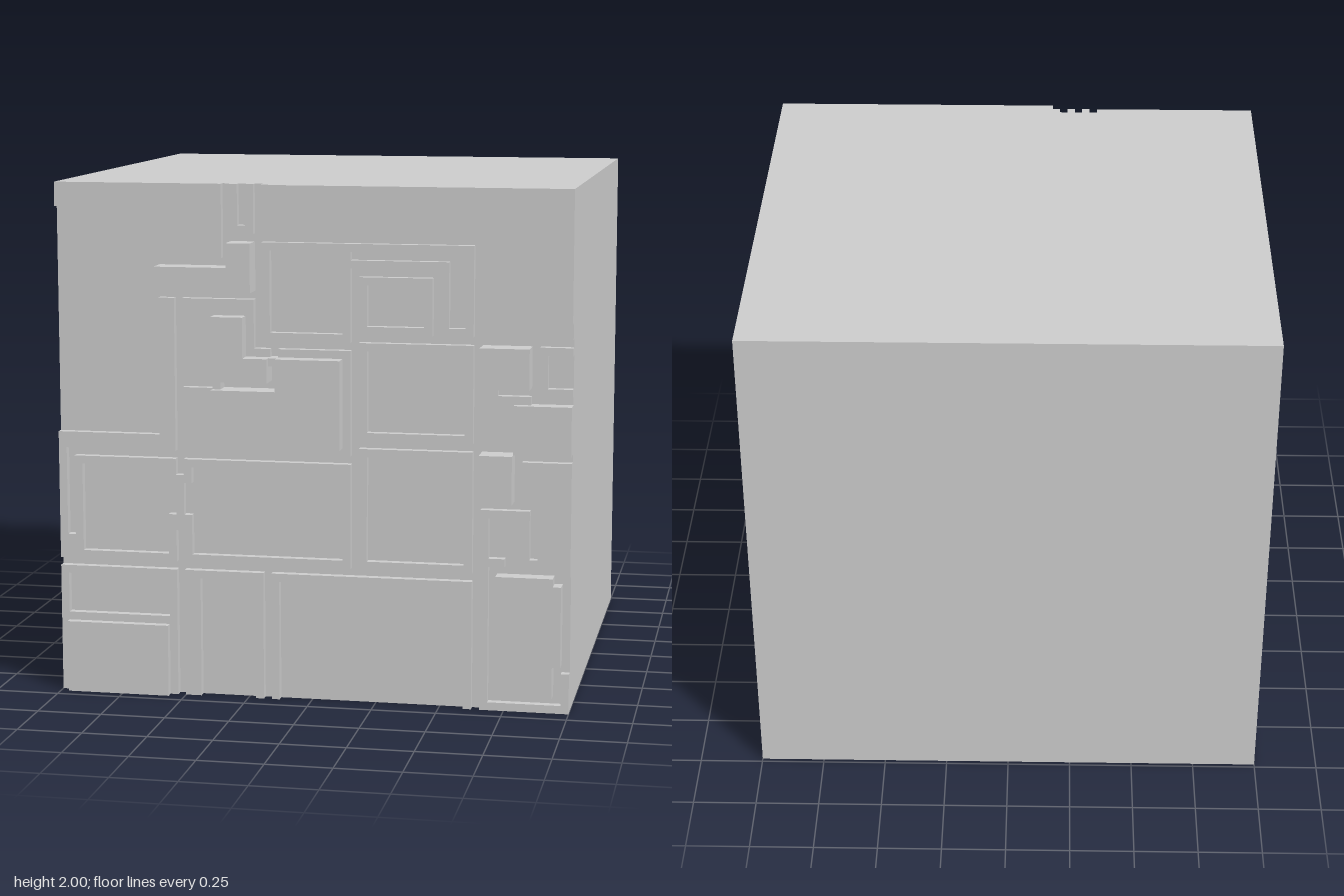
import * as THREE from 'three';
import { mergeGeometries } from 'three/addons/utils/BufferGeometryUtils.js';

// Everything sits on a grid of 64 x 64 cells across the front face.
const U = 1 / 32;
// Heights of the relief, as z
const FLOOR = 57 / 64, RIDGE = 59 / 64, PLATE = 61 / 64, BLOCK = 63 / 64;
const material = new THREE.MeshStandardMaterial({ color: 0xcccccc });

// One box over the cells [x0, y0, x1, y1], between two depths
function cellBox([x0, y0, x1, y1], back, front) {
  const g = new THREE.BoxGeometry((x1 - x0) * U, (y1 - y0) * U, front - back);
  return g.translate((x0 + x1) * U / 2 - 1, (y0 + y1) * U / 2, (back + front) / 2);
}

// Four rectangles around a sunken panel; empty sides are dropped
function frame([x0, y0, x1, y1], [a, b, c, d]) {
  return [
    [x0, y0, a, y1], [c, y0, x1, y1], [a, y0, c, b], [a, d, c, y1],
  ].filter(([l, s, r, t]) => r > l && t > s);
}

export function createModel() {
  const model = new THREE.Group();
  const add = (name, top, rects, bottom = FLOOR) => {
    const mesh = new THREE.Mesh(mergeGeometries(rects.map(r => cellBox(r, bottom, top))), material);
    mesh.name = name;
    model.add(mesh);
  };

  // Solid cube; its front is the floor of all grooves and sunken panels
  add('cubeBody', FLOOR, [[0, 0, 64, 64]], -BLOCK);

  // Upper edge
  add('topLeftRim', RIDGE, [[0, 61, 21, 64], [13, 55, 21, 61]]);
  add('topSlotPiece', RIDGE, frame([22, 58, 25, 64], [23, 59, 24, 64]));
  add('topRightBand', RIDGE, [[26, 60, 27, 64], [26, 58, 56, 60], [53, 46, 56, 58], [56, 46, 64, 48]]);
  add('topRightPlate', PLATE, [[27, 60, 64, 64], [56, 48, 64, 60]]);

  // Upper middle frames and the nested square
  add('upperFrame', RIDGE, [
    ...frame([26, 45, 37, 57], [27, 46, 36, 56]),
    [37, 56, 52, 57], [51, 46, 52, 56], [37, 54, 49, 55], [48, 46, 49, 54], [49, 46, 51, 47],
  ]);
  add('nestedFrame', RIDGE, frame([38, 46, 47, 53], [39, 47, 46, 52]));

  // Left border and centre field
  add('leftBorder', RIDGE, [[0, 31, 15, 33], [13, 33, 15, 50], [0, 17, 1, 31], [1, 17, 2, 20]]);
  add('centreUpperField', RIDGE, [[16, 40, 25, 50], [25, 40, 27, 44]]);
  add('centreLowerField', RIDGE, [[16, 31, 37, 39], [28, 39, 37, 44]]);

  // Middle and lower frames
  add('middleRightFrame', RIDGE, frame([38, 33, 52, 45], [39, 34, 51, 44]));
  add('lowerRightFrame', RIDGE, frame([38, 17, 52, 32], [39, 18, 51, 31]));
  add('middleLeftFrames', RIDGE, [
    [2, 17, 3, 30], [3, 29, 15, 30], [3, 17, 15, 18], [14, 18, 15, 23], [14, 27, 15, 29],
    [36, 17, 37, 30], [16, 29, 36, 30], [16, 17, 36, 18], [16, 18, 17, 23], [16, 27, 17, 29],
    [15, 21, 16, 28],
  ]);
  add('bottomLeftFrame', RIDGE, frame([0, 0, 15, 16], [1, 10, 14, 15]));
  add('bottomNarrowFrame', RIDGE, frame([16, 0, 26, 16], [18, 0, 25, 15]));
  add('bottomWideFrame', RIDGE, frame([27, 0, 52, 16], [28, 0, 51, 15]));

  // Right edge
  add('rightMiddleField', RIDGE, [[53, 33, 57, 39], [53, 39, 55, 40], [57, 38, 59, 39]]);
  add('rightSmallFrame', RIDGE, frame([60, 39, 64, 45], [61, 40, 64, 44]));
  add('rightLowerField', RIDGE, [[58, 26, 64, 31], [60, 18, 64, 26], [58, 18, 60, 19], [58, 19, 59, 25]]);
  add('rightLowerFrame', RIDGE, [
    [53, 0, 54, 25], [54, 24, 58, 25], [54, 18, 56, 19], [54, 0, 64, 1], [63, 1, 64, 5], [63, 17, 64, 18],
  ]);

  // Medium-height plates
  add('bottomLeftPlate', PLATE, [[1, 0, 14, 9]]);
  add('bottomRightPlate', PLATE, [[55, 2, 62, 17], [62, 6, 63, 16]]);
  add('rightPlate', PLATE, [[57, 32, 64, 38]]);
  add('blockBridges', PLATE, [[20, 39, 21, 40], [27, 42, 28, 43]]);

  // Tallest blocks
  add('upperLeftBlock', BLOCK, [[13, 51, 22, 54], [22, 51, 25, 57]]);
  add('centreHookBlock', BLOCK, [[20, 40, 24, 48], [24, 40, 27, 43]]);
  add('centreBlock', BLOCK, [[20, 32, 36, 39], [28, 39, 36, 43]]);
  add('rightUpperBlock', BLOCK, [[53, 40, 59, 45]]);
  add('rightLowerBlock', BLOCK, [[53, 26, 57, 32]]);

  return model;
}
